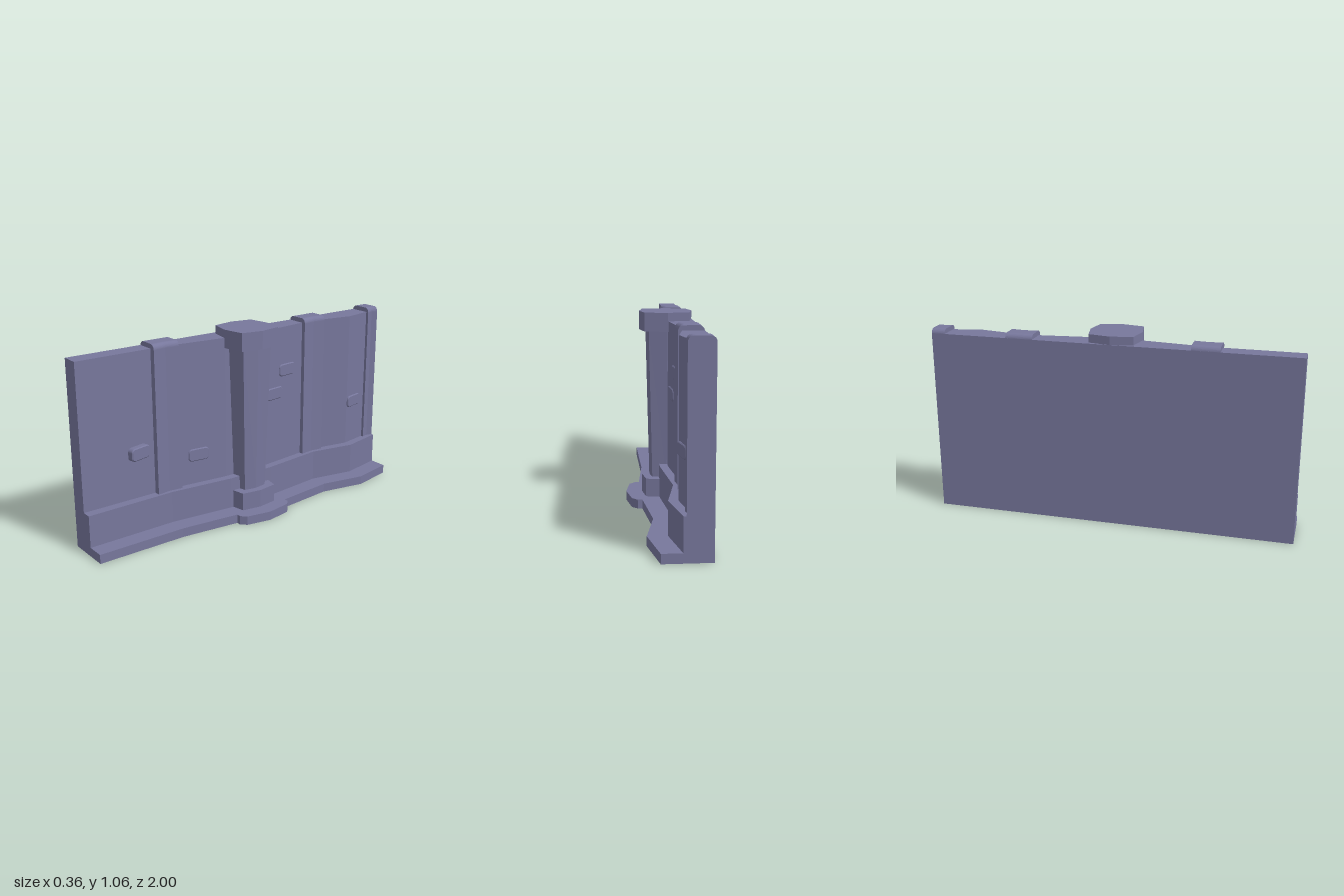
import * as THREE from 'three';

const stone = new THREE.MeshStandardMaterial({ color: 0x77779c });
stone.name = 'slate stone';

const BACK = -0.18;

function part(name, geometry) {
  const mesh = new THREE.Mesh(geometry, stone);
  mesh.name = name;
  return mesh;
}

// Upright slab from a plan of [x, z] points
function slab(plan, y0, y1) {
  const shape = new THREE.Shape(plan.map(([x, z]) => new THREE.Vector2(x, -z)));
  return new THREE.ExtrudeGeometry(shape, { depth: y1 - y0, bevelEnabled: false })
    .rotateX(-Math.PI / 2).translate(0, y0, 0);
}

// Full-length slab with a straight back and a front edge of [x, z] points
const course = (front, y0, y1) => slab([[BACK, -1], ...front, [BACK, 1]], y0, y1);

// Mirror half a plan (z from far side to 0) across z = 0
const mirrored = half => [
  ...half,
  ...half.filter(([, z]) => z !== 0).reverse().map(([x, z]) => [x, -z]),
];

// Rectangle with all four corners rounded, centred on the origin
function roundedRect(w, h, r) {
  const s = new THREE.Shape();
  s.absarc(w / 2 - r, h / 2 - r, r, 0, Math.PI / 2);
  s.absarc(-w / 2 + r, h / 2 - r, r, Math.PI / 2, Math.PI);
  s.absarc(-w / 2 + r, -h / 2 + r, r, Math.PI, Math.PI * 1.5);
  s.absarc(w / 2 - r, -h / 2 + r, r, Math.PI * 1.5, Math.PI * 2);
  s.closePath();
  return s;
}

// Pilaster: rounded top, with a slightly hollow front face
function pilaster(z0, z1, front) {
  const top = 1.04, r = 0.028;
  const s = new THREE.Shape();
  s.moveTo(BACK, 0.2);
  s.lineTo(front, 0.2);
  s.absarc(front - r, top - r, r, 0, Math.PI / 2);
  s.absarc(BACK + r, top - r, r, Math.PI / 2, Math.PI);
  s.closePath();
  const g = new THREE.ExtrudeGeometry(s, {
    depth: z1 - z0, steps: 2, bevelEnabled: false, curveSegments: 6,
  }).translate(0, 0, z0);
  const p = g.attributes.position;
  const mid = (z0 + z1) / 2;
  for (let i = 0; i < p.count; i++) {
    if (Math.abs(p.getZ(i) - mid) < 0.001 && p.getX(i) > -0.1) p.setX(i, p.getX(i) - 0.009);
  }
  g.computeVertexNormals();
  return g;
}

// Shaft that widens towards the top
function taperedShaft() {
  const y0 = 0.14, y1 = 0.97;
  const g = slab(mirrored([[-0.12, -0.085], [-0.04, -0.085], [0.038, -0.07], [0.05, 0]]), y0, y1);
  const p = g.attributes.position;
  for (let i = 0; i < p.count; i++) {
    const t = (p.getY(i) - y0) / (y1 - y0);
    p.setZ(i, p.getZ(i) * (1 + 0.33 * t));
    if (p.getX(i) > 0) p.setX(i, p.getX(i) + 0.02 * t);
  }
  g.computeVertexNormals();
  return g;
}

// Raised block lying between two [x, z] points on its outer face
function raisedBlock([xa, za], [xb, zb], y) {
  const bevel = 0.005, depth = 0.028;
  const g = new THREE.ExtrudeGeometry(roundedRect(0.114, 0.06, 0.016), {
    depth, bevelEnabled: true, bevelThickness: bevel, bevelSize: bevel,
    bevelSegments: 1, curveSegments: 4,
  }).translate(0, 0, -depth - bevel);
  const mesh = part('raisedBlock', g);
  mesh.position.set((xa + xb) / 2, y, (za + zb) / 2);
  mesh.rotation.y = Math.PI / 2 - Math.atan2(xb - xa, zb - za) * -1;
  return mesh;
}

export function createModel() {
  const model = new THREE.Group();
  model.name = 'wallSection';

  // Wall in three courses stepping out towards the ground
  model.add(part('wall', course([
    [-0.08, -1], [-0.037, -0.76], [-0.083, -0.5], [-0.043, -0.14],
    [-0.043, 0.14], [-0.083, 0.5], [-0.083, 1],
  ], 0.2, 1.015)));
  model.add(part('ledge', course([
    [-0.036, -1], [0.013, -0.76], [-0.036, -0.5], [0.002, -0.14],
    [0.002, 0.14], [-0.036, 0.5], [-0.031, 1],
  ], 0.03, 0.225)));
  model.add(part('footing', course([
    [0.067, -1], [0.115, -0.76], [0.065, -0.5], [0.1, -0.17],
    [0.125, -0.17], [0.155, -0.14], [0.18, 0], [0.155, 0.14], [0.125, 0.17],
    [0.1, 0.17], [0.065, 0.5], [0.067, 1],
  ], 0, 0.05)));

  // Pilasters
  for (const [z0, z1, front] of [[0.425, 0.575, -0.05], [-0.575, -0.425, -0.05], [-1, -0.925, -0.05]]) {
    model.add(part('pilaster', pilaster(z0, z1, front)));
  }

  // Column
  const column = new THREE.Group();
  column.name = 'column';
  column.add(part('columnBase', slab(mirrored(
    [[-0.1, -0.125], [0.0, -0.125], [0.075, -0.11], [0.092, 0]]), 0.04, 0.15)));
  column.add(part('columnShaft', taperedShaft()));
  column.add(part('columnCap', slab([
    [-0.18, 0], [-0.157, -0.12], [-0.04, -0.143], [0.082, -0.12],
    [0.104, 0], [0.082, 0.12], [-0.04, 0.143], [-0.157, 0.12],
  ], 0.96, 1.06)));
  model.add(column);

  // Raised blocks scattered over the wall face
  model.add(
    raisedBlock([-0.055, 0.615], [-0.028, 0.735], 0.485),
    raisedBlock([-0.048, 0.25], [-0.062, 0.37], 0.39),
    raisedBlock([-0.052, -0.27], [-0.038, -0.15], 0.64),
    raisedBlock([-0.062, -0.365], [-0.048, -0.245], 0.765),
    raisedBlock([-0.055, -0.885], [-0.028, -0.765], 0.485),
  );
  return model;
}
